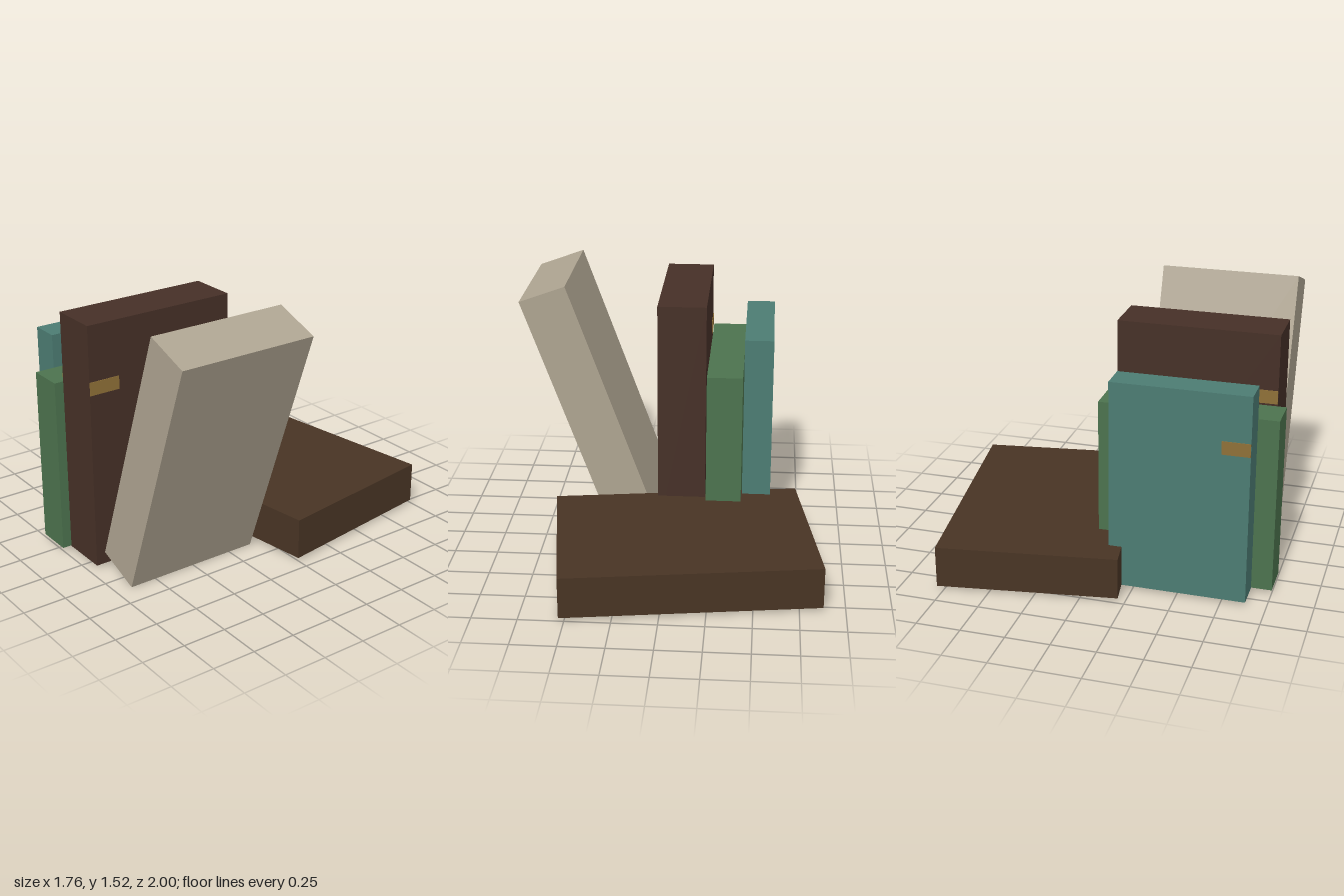
import * as THREE from 'three';

const paint = (color) => new THREE.MeshStandardMaterial({ color, side: THREE.DoubleSide });

// Box without its underside: a hollow book cover
function openBox(w, h, d) {
  const geo = new THREE.BoxGeometry(w, h, d);
  const index = Array.from(geo.index.array);
  index.splice(18, 6);
  geo.setIndex(index);
  geo.clearGroups();
  return geo;
}

function add(parent, name, geo, material, x, y, z) {
  const mesh = new THREE.Mesh(geo, material);
  mesh.name = name;
  mesh.position.set(x, y, z);
  parent.add(mesh);
  return mesh;
}

export function createModel() {
  const model = new THREE.Group();
  model.name = 'bookGroup';
  const gold = paint(0x8f7038);
  const base = 0.022;

  // Upright books: x range, height of top, z range, optional label band [y, depth]
  const upright = [
    { name: 'tealBook', color: 0x4c7c73, x: [-0.58, -0.413], top: 1.22, z: [0.115, 0.885], band: [0.92, 0.155] },
    { name: 'greenBook', color: 0x4c734e, x: [-0.408, -0.202], top: 1.03, z: [0.005, 1.0] },
    { name: 'tallBrownBook', color: 0x463027, x: [-0.196, 0.083], top: 1.43, z: [0.052, 0.95], band: [1.077, 0.18] },
  ];
  for (const { name, color, x, top, z, band } of upright) {
    const book = new THREE.Group();
    book.name = name;
    const w = x[1] - x[0], h = top - base, d = z[1] - z[0];
    const cx = (x[0] + x[1]) / 2;
    add(book, 'cover', openBox(w, h, d), paint(color), cx, base + h / 2, (z[0] + z[1]) / 2);
    if (band) {
      // Band stands slightly proud of the two boards, level with the spine
      add(book, 'labelBand', new THREE.BoxGeometry(w + 0.008, 0.075, band[1]), gold,
        cx, band[0], z[1] - 0.001 - band[1] / 2);
    }
    model.add(book);
  }

  // Pale book leaning to the side
  const leaning = add(model, 'leaningBook', new THREE.BoxGeometry(0.283, 1.51, 0.805),
    paint(0xaea491), 0.489, 0.762, 0.503);
  leaning.rotation.z = -0.347;

  // Book lying flat behind the row, with its page block set into the cover
  const flat = new THREE.Group();
  flat.name = 'flatBook';
  flat.position.set(-0.1, base, -0.395);
  flat.rotation.y = 0.148;
  add(flat, 'cover', openBox(1.426, 0.237, 1.011), paint(0x483424), 0, 0.1185, 0);
  add(flat, 'pageBlock', new THREE.BoxGeometry(1.38, 0.2, 0.975), paint(0xa8a394), 0, 0.11, 0);
  model.add(flat);

  return model;
}
